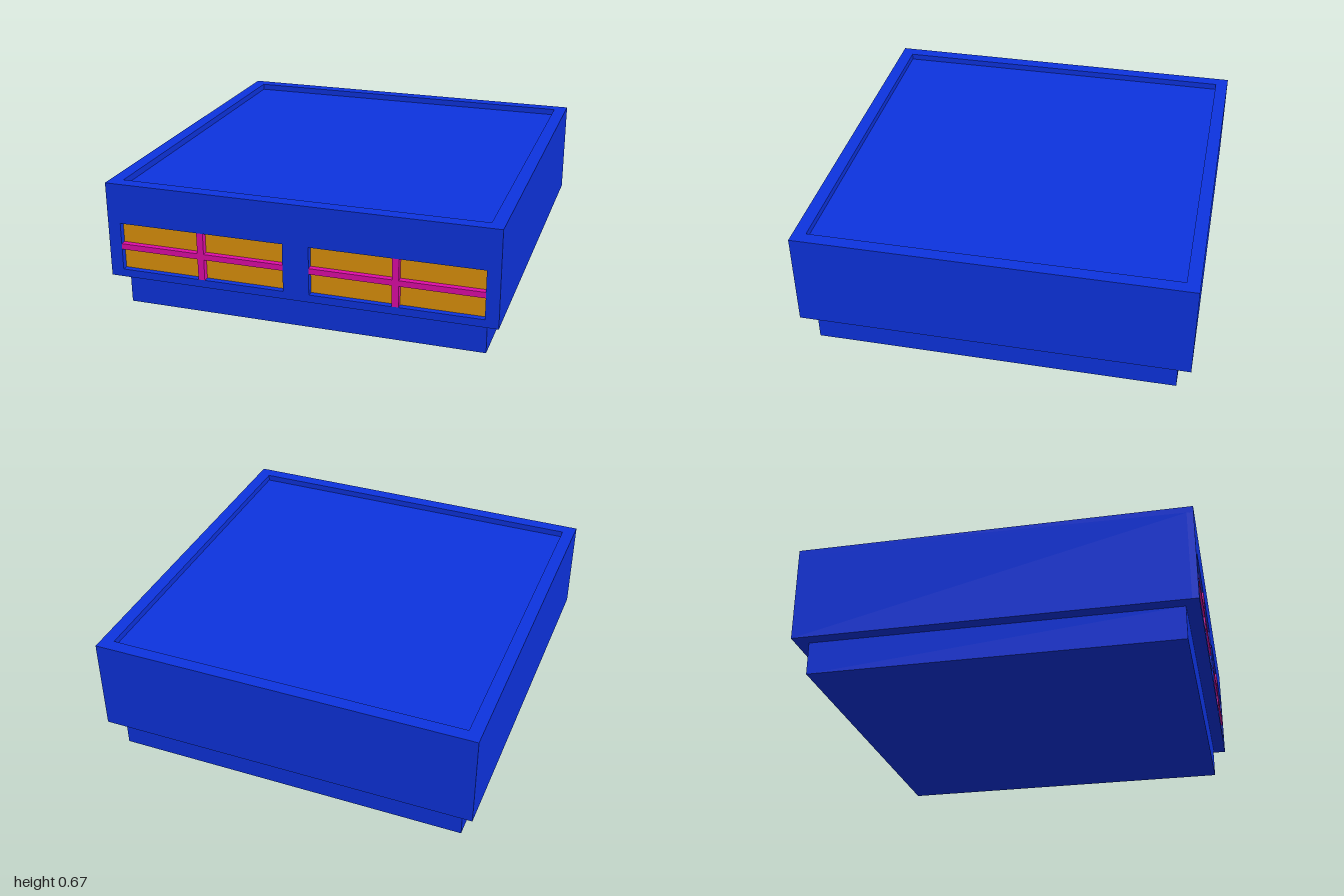
import * as THREE from 'three';

const blue = new THREE.MeshStandardMaterial({ color: 0x0d33e0 });
const amber = new THREE.MeshStandardMaterial({ color: 0xde930c });
const magenta = new THREE.MeshStandardMaterial({ color: 0xe00ca8 });

const BOTTOM = 0.17, TOP = 0.67, RECESS = 0.033, INSET = 0.933;
const FLOOR = TOP - RECESS;
const WINDOW = { x: 0.5, y: 0.335, w: 0.866, h: 0.25 };

function add(parent, name, geometry, material, x, y, z) {
  const mesh = new THREE.Mesh(geometry, material);
  mesh.name = name;
  mesh.position.set(x, y, z);
  parent.add(mesh);
  return mesh;
}

// Rectangle outline, usable as a shape or as a hole
function rect(PathType, cx, cy, w, h) {
  const x = w / 2, y = h / 2;
  return new PathType([[-x, -y], [x, -y], [x, y], [-x, y]]
    .map(([px, py]) => new THREE.Vector2(cx + px, cy + py)));
}

const extrude = (shape) => new THREE.ExtrudeGeometry(shape, { depth: RECESS, bevelEnabled: false });

export function createModel() {
  const model = new THREE.Group();
  model.name = 'flatRoofStorey';

  // Inset plinth and solid body
  add(model, 'plinth', new THREE.BoxGeometry(INSET * 2, BOTTOM, INSET * 2), blue, 0, BOTTOM / 2, 0);
  add(model, 'body', new THREE.BoxGeometry(2, FLOOR - BOTTOM, 2 - RECESS), blue,
    0, (FLOOR + BOTTOM) / 2, -RECESS / 2);

  // Front wall with two window openings
  const wall = rect(THREE.Shape, 0, (FLOOR + BOTTOM) / 2, 2, FLOOR - BOTTOM);
  for (const side of [-1, 1]) {
    wall.holes.push(rect(THREE.Path, side * WINDOW.x, WINDOW.y, WINDOW.w, WINDOW.h));
  }
  add(model, 'frontWall', extrude(wall), blue, 0, 0, 1 - RECESS);

  // Raised rim around the sunken roof
  const rim = rect(THREE.Shape, 0, 0, 2, 2);
  rim.holes.push(rect(THREE.Path, 0, 0, INSET * 2, INSET * 2));
  add(model, 'roofRim', extrude(rim), blue, 0, FLOOR, 0).rotation.x = -Math.PI / 2;

  // Recessed panes with crossed glazing bars
  for (const side of [-1, 1]) {
    const win = new THREE.Group();
    win.name = side > 0 ? 'leftWindow' : 'rightWindow';
    win.position.set(side * WINDOW.x, WINDOW.y, 1 - RECESS);
    add(win, 'pane', new THREE.PlaneGeometry(WINDOW.w, WINDOW.h), amber, 0, 0, 0.002);
    add(win, 'verticalBar', new THREE.BoxGeometry(0.034, WINDOW.h, RECESS), magenta, 0, 0, RECESS / 2);
    add(win, 'horizontalBar', new THREE.BoxGeometry(WINDOW.w, 0.03, RECESS), magenta, 0, 0, RECESS / 2);
    model.add(win);
  }
  return model;
}
